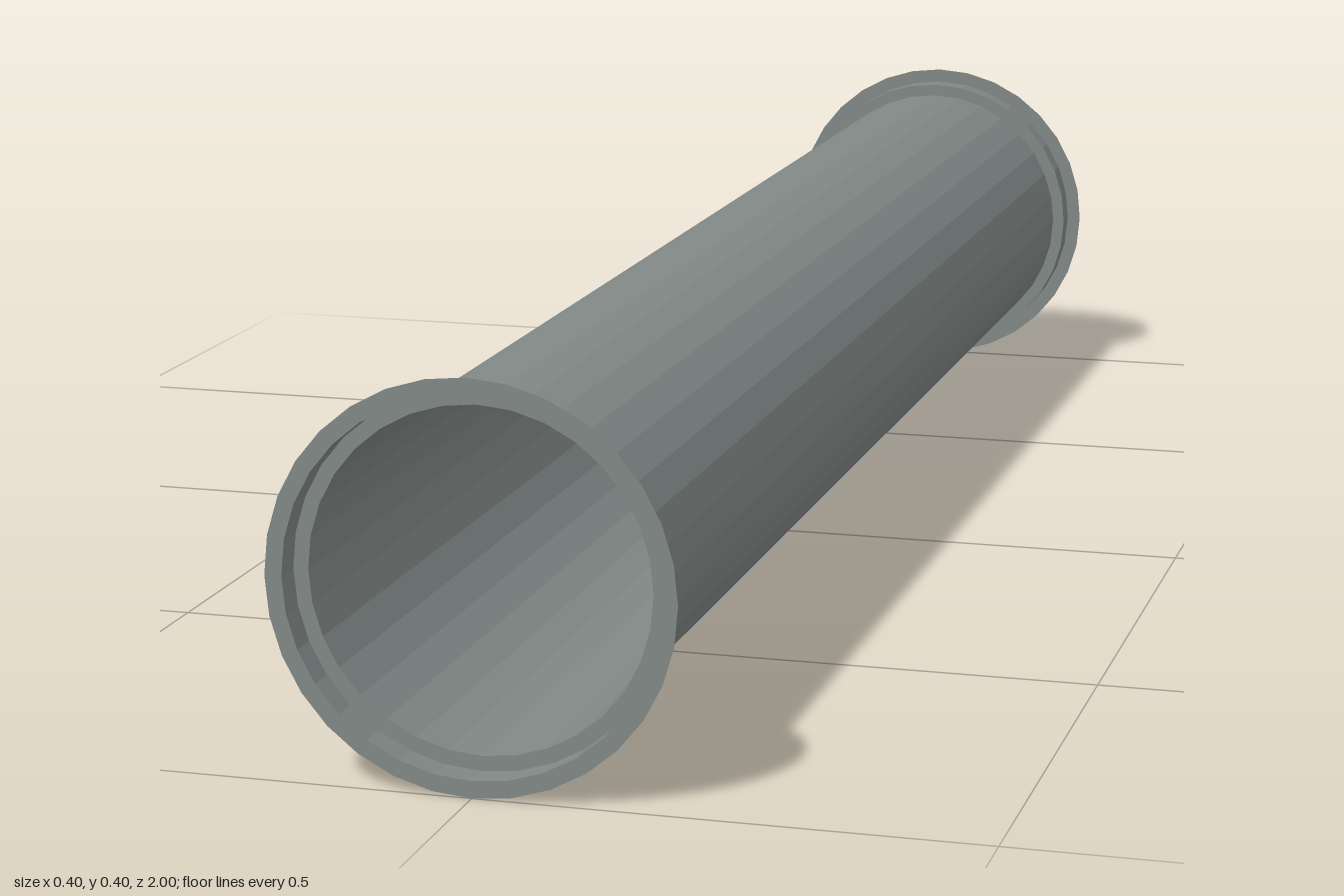
import * as THREE from 'three';

const SIDES = 32;
const PIPE_R = 0.169, COLLAR_R = 0.184, RIM_R = 0.201;
const END = 1, SHOULDER = 0.97;

export function createModel() {
  const model = new THREE.Group();
  model.name = 'flangedPipe';
  const material = new THREE.MeshStandardMaterial({
    color: 0x808886, flatShading: true, side: THREE.DoubleSide,
  });

  // Thin sheet turned around the z axis from [radius, z] points
  function turned(name, points) {
    const profile = points.map(([r, z]) => new THREE.Vector2(r, z));
    const geometry = new THREE.LatheGeometry(profile, SIDES).rotateX(Math.PI / 2);
    const mesh = new THREE.Mesh(geometry, material);
    mesh.name = name;
    mesh.position.y = RIM_R;
    model.add(mesh);
  }

  // Long open tube
  turned('pipe', [[PIPE_R, -SHOULDER], [PIPE_R, SHOULDER]]);

  // Stepped flange at each end: shoulder, collar, then a flat outer rim
  for (const [name, s] of [['frontFlange', 1], ['backFlange', -1]]) {
    turned(name, [
      [PIPE_R, s * SHOULDER], [COLLAR_R, s * SHOULDER],
      [COLLAR_R, s * END], [RIM_R, s * END],
    ]);
  }

  // Partition deep inside that blocks the line of sight
  const partition = new THREE.Mesh(
    new THREE.CircleGeometry(PIPE_R, SIDES, Math.PI / 2), material);
  partition.name = 'innerPartition';
  partition.position.y = RIM_R;
  model.add(partition);

  return model;
}
